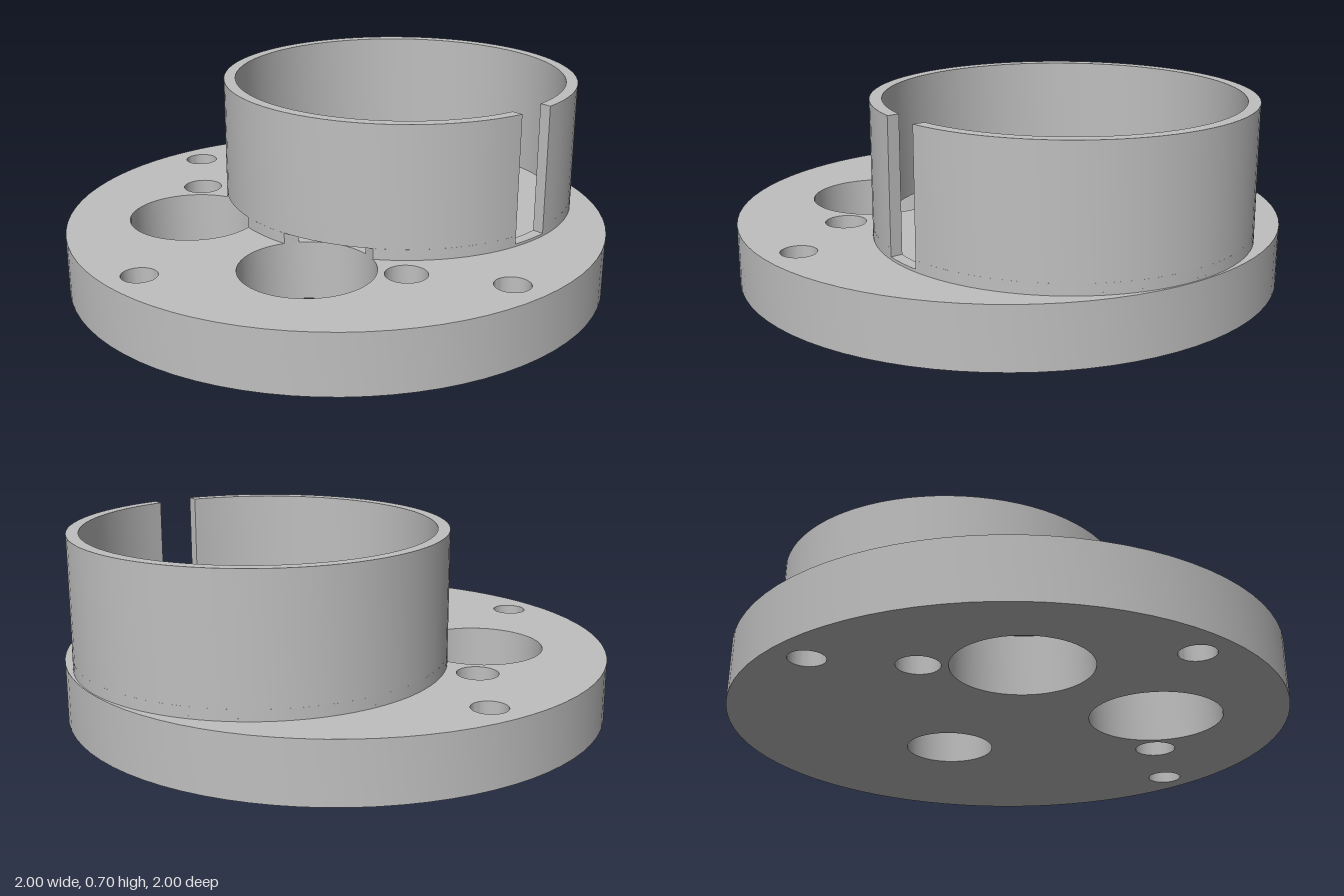
import * as THREE from 'three';
import { toCreasedNormals } from 'three/addons/utils/BufferGeometryUtils.js';

const TAU = Math.PI * 2;
const BASE_TOP = 0.22, LIP_TOP = 0.23, NOTCH_TOP = 0.26, WALL_TOP = 0.705;
const CX = 0.325, OUTER = 0.67, INNER = 0.627;        // cup centre and radii
const BIG = { x: -0.42, z: 0.328, r: 0.238 };         // large flange hole

// Extrude a plan drawn in x/z between two heights
function slab(shape, y0, y1) {
  const g = new THREE.ExtrudeGeometry(shape, { depth: y1 - y0, bevelEnabled: false, curveSegments: 40 });
  g.rotateX(Math.PI / 2);
  g.translate(0, y1, 0);
  return toCreasedNormals(g, 0.5);
}

// Angle on a cup circle at each side of the front slot
const slotLeft = (r) => Math.acos(-0.07 / r);
const slotRight = (r) => Math.acos(0.08 / r) + TAU;

// Angles where a cup circle enters and leaves the front large hole
function notch(r, side) {
  const dx = CX - BIG.x, d = Math.hypot(dx, BIG.z);
  const half = Math.acos((d * d + r * r - BIG.r * BIG.r) / (2 * d * r));
  return Math.PI - Math.atan2(BIG.z, dx) + side * half;
}
const frontIn = (r) => notch(r, -1), frontOut = (r) => notch(r, 1);
const backIn = (r) => TAU - frontOut(r), backOut = (r) => TAU - frontIn(r);

// Part of the cup ring between two edges, each given as a function of radius
function sector(start, end) {
  const s = new THREE.Shape();
  s.absarc(CX, 0, OUTER, start(OUTER), end(OUTER), false);
  s.absarc(CX, 0, INNER, end(INNER), start(INNER), true);
  s.closePath();
  return s;
}

export function createModel() {
  const group = new THREE.Group();
  const grey = new THREE.MeshStandardMaterial({ color: 0xbfbfbf });
  grey.name = 'plain grey';
  const add = (name, geometry) => {
    const mesh = new THREE.Mesh(geometry, grey);
    mesh.name = name;
    group.add(mesh);
  };

  // Round flange with its bolt, cable and centre holes
  const disc = new THREE.Shape();
  disc.absarc(0, 0, 1, 0, TAU, false);
  const holes = [[CX, 0, 0.16], [-0.873, 0, 0.063]];
  for (const s of [-1, 1]) {
    holes.push([BIG.x, s * BIG.z, BIG.r], [-0.2, s * 0.582, 0.074], [0, s * 0.873, 0.063]);
  }
  for (const [x, z, r] of holes) {
    const hole = new THREE.Path();
    hole.absarc(x, z, r, 0, TAU, true);
    disc.holes.push(hole);
  }
  add('flange', slab(disc, 0, BASE_TOP));

  // Cup wall, open at the front slot
  add('cupWall', slab(sector(slotLeft, slotRight), NOTCH_TOP, WALL_TOP));

  // Foot of the wall, interrupted by the slot and the two large holes
  add('wallFootFront', slab(sector(slotLeft, frontIn), LIP_TOP, NOTCH_TOP));
  add('wallFootMiddle', slab(sector(frontOut, backIn), BASE_TOP, NOTCH_TOP));
  add('wallFootBack', slab(sector(backOut, slotRight), LIP_TOP, NOTCH_TOP));

  // Low sill that also runs under the slot
  add('slotSill', slab(sector(backOut, (r) => frontIn(r) + TAU), BASE_TOP, LIP_TOP));

  return group;
}
